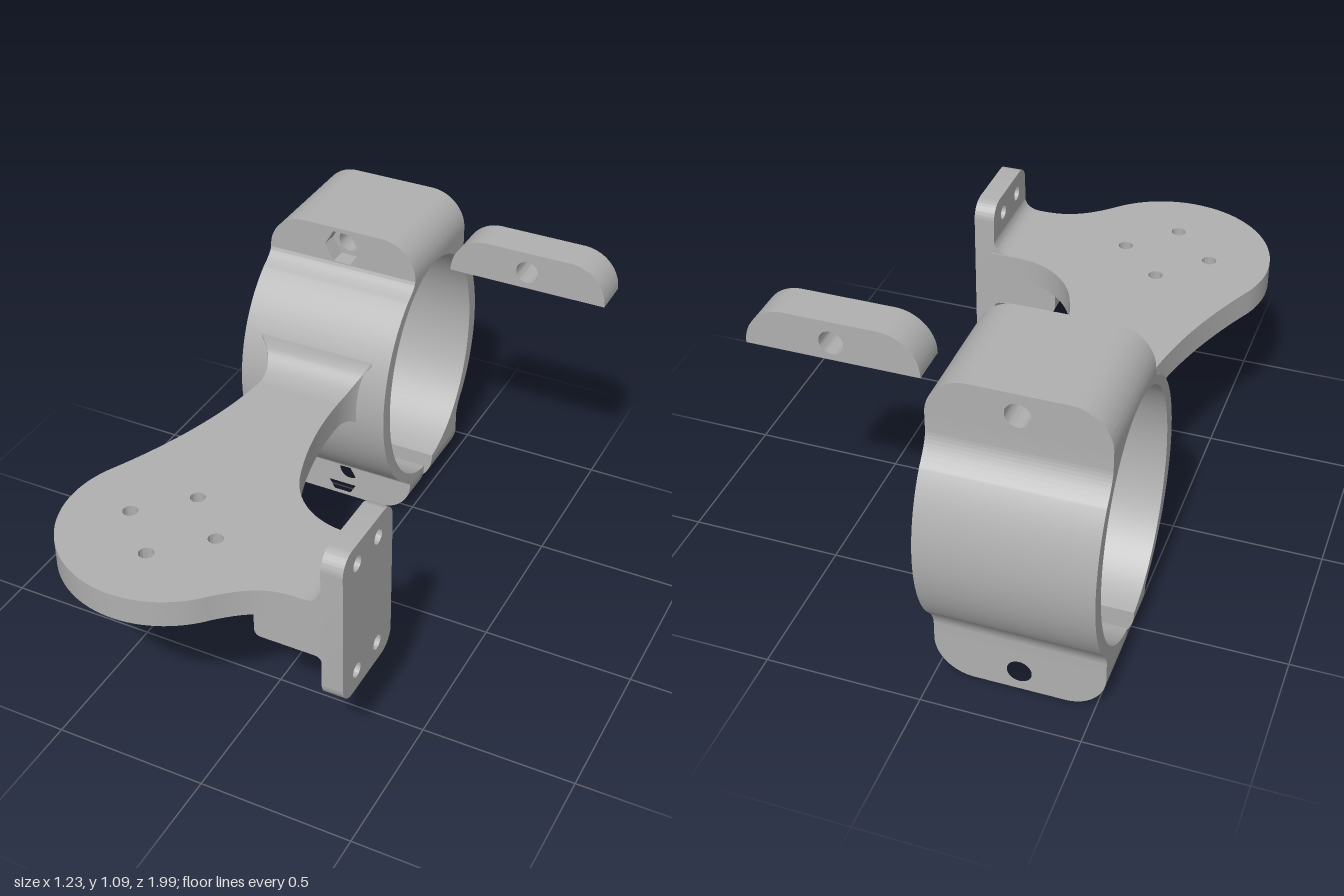
import * as THREE from 'three';
import { toCreasedNormals } from 'three/addons/utils/BufferGeometryUtils.js';

const CX = -0.262, CY = 0.545, CZ = -0.612; // centre of the clamp
const HALF = 0.268;                         // half width of the clamp

export function createModel() {
  const root = new THREE.Group();
  const grey = new THREE.MeshStandardMaterial({ color: 0xb0b0b0 });
  grey.name = 'grey plastic';

  const add = (name, geo) => {
    const mesh = new THREE.Mesh(toCreasedNormals(geo, 0.5), grey);
    mesh.name = name;
    root.add(mesh);
    return mesh;
  };
  const extrude = (shape, depth, curveSegments = 16) =>
    new THREE.ExtrudeGeometry(shape, { depth, curveSegments, bevelEnabled: false });
  // axis helpers: shapes drawn in (x, y), (-z, y) and (x, -z)
  const alongZ = (shape, z0, z1) => extrude(shape, z1 - z0).translate(0, 0, z0);
  const alongX = (shape, x0, x1, n) => extrude(shape, x1 - x0, n).rotateY(Math.PI / 2).translate(x0, 0, 0);
  const alongY = (shape, y0, y1, n) => extrude(shape, y1 - y0, n).rotateX(-Math.PI / 2).translate(0, y0, 0);
  const hole = (x, y, r) => new THREE.Path().absarc(x, y, r, 0, Math.PI * 2, true);
  const hexagon = (x, y, r) => new THREE.Path(Array.from({ length: 6 }, (_, i) =>
    new THREE.Vector2(x + r * Math.cos(i * Math.PI / 3), y - r * Math.sin(i * Math.PI / 3))));

  // Clamp ring: oval band with flats for the lugs and a slot at the bottom
  const rx = 0.382, ry = 0.435, flat = 0.417;
  const tB = Math.acos(0.3 / rx), tF = Math.acos(0.205 / rx);
  const qB = ry * Math.sin(tB), qF = ry * Math.sin(tF);
  const slot = Math.asin(0.035 / 0.332);
  const ring = new THREE.Shape();
  ring.moveTo(0.035, -flat);
  ring.lineTo(0.248, -flat);
  ring.lineTo(0.248, -0.36);
  ring.quadraticCurveTo(0.248, -0.325, 0.3, -qB);
  ring.absellipse(0, 0, rx, ry, -tB, tB, false);
  ring.quadraticCurveTo(0.248, 0.325, 0.248, 0.36);
  ring.lineTo(0.248, flat);
  ring.lineTo(-0.152, flat);
  ring.quadraticCurveTo(-0.155, 0.395, -0.205, qF);
  ring.absellipse(0, 0, rx, ry, Math.PI - tF, Math.PI + tF, false);
  ring.quadraticCurveTo(-0.155, -0.395, -0.152, -flat);
  ring.lineTo(-0.035, -flat);
  ring.absellipse(0, 0, 0.332, 0.412, -Math.PI / 2 - slot, -Math.PI / 2 + slot, true);
  add('clampRing', alongX(ring, CX - HALF, CX + HALF, 48).translate(0, CY, CZ));

  // Lugs: rounded blocks with a bolt hole, s = 1 on top, -1 at the bottom
  const lugShape = (cx, s, cut) => {
    const r = 0.125, base = CY + s * flat, end = CY + s * 0.545;
    const sh = new THREE.Shape();
    sh.moveTo(cx - HALF, base);
    sh.lineTo(cx + HALF, base);
    sh.absarc(cx + HALF - r, end - s * r, r, 0, s * Math.PI / 2, s < 0);
    sh.absarc(cx - HALF + r, end - s * r, r, s * Math.PI / 2, s * Math.PI, s < 0);
    sh.closePath();
    sh.holes.push(cut);
    return sh;
  };
  for (const s of [1, -1]) {
    const y = CY + s * 0.475, side = s > 0 ? 'top' : 'bottom';
    add(side + 'LugNutRecess', alongZ(lugShape(CX, s, hexagon(CX, y, 0.0635)), -0.52, -0.46));
    const spans = s > 0 ? [[-0.86, -0.52]] : [[-0.577, -0.52], [-0.86, -0.647]];
    for (const [a, b] of spans) add(side + 'Lug', alongZ(lugShape(CX, s, hole(CX, y, 0.039)), a, b));
  }

  // Loose spacer bar beside the clamp
  add('spacerBar', alongZ(lugShape(0.344, 1, hole(0.344, 1.02, 0.038)), -0.715, -0.585));

  // Flat arm with a round pad and a side branch
  const px = -0.27, pz = -0.645, pr = 0.35;
  const aL = Math.PI - 0.42, aR = -0.72;
  const arm = new THREE.Shape();
  arm.moveTo(-0.405, 0.14);
  arm.bezierCurveTo(-0.42, -0.1, -0.5, -0.32, px + pr * Math.cos(aL), pz + pr * Math.sin(aL));
  arm.absarc(px, pz, pr, aL, aR + Math.PI * 2, false);
  arm.bezierCurveTo(0.06, -0.81, 0.12, -0.77, 0.21, -0.77);
  arm.lineTo(0.3, -0.77);
  arm.lineTo(0.3, -0.445);
  arm.lineTo(0.21, -0.445);
  arm.bezierCurveTo(0.09, -0.445, 0, -0.37, -0.04, -0.27);
  arm.bezierCurveTo(-0.09, -0.14, -0.115, 0, -0.115, 0.14);
  arm.closePath();
  for (const [dx, dz] of [[0.148, 0], [-0.148, 0], [0, 0.148], [0, -0.148]])
    arm.holes.push(hole(px + dx, pz + dz, 0.024));
  add('arm', alongY(arm, 0.55, 0.64, 32));

  // Flared neck: box whose sections widen along a quarter curve into the ring
  const n = 12, neck = new THREE.BoxGeometry(1, 1, 1, 1, 1, n);
  const p = neck.attributes.position;
  for (let i = 0; i < p.count; i++) {
    const u = 0.5 - p.getZ(i);
    const f = 1 - Math.sqrt(Math.max(0, 1 - u * u));
    const hx = 0.145 + 0.06 * f;
    const y = p.getY(i) > 0 ? 0.64 + 0.1 * f : 0.55 - 0.11 * f;
    p.setXYZ(i, -0.26 + 2 * hx * p.getX(i), y, -0.13 - 0.135 * u);
  }
  add('flaredNeck', neck);

  // Upright mounting plate with four holes
  const z0 = 0.45, z1 = 0.77, y0 = 0.275, y1 = 0.82, r = 0.06;
  const plate = new THREE.Shape();
  plate.absarc(-z0 - r, y0 + r, r, -Math.PI / 2, 0, false);
  plate.absarc(-z0 - r, y1 - r, r, 0, Math.PI / 2, false);
  plate.absarc(-z1 + r, y1 - r, r, Math.PI / 2, Math.PI, false);
  plate.absarc(-z1 + r, y0 + r, r, Math.PI, Math.PI * 1.5, false);
  plate.closePath();
  for (const z of [0.545, 0.68]) for (const y of [0.345, 0.75]) plate.holes.push(hole(-z, y, 0.025));
  add('mountingPlate', alongX(plate, 0.29, 0.36));

  // Support block under the branch, blended into the plate above and below
  const block = new THREE.Shape();
  block.moveTo(0.07, 0.56);
  block.lineTo(0.07, 0.465);
  block.quadraticCurveTo(0.07, 0.44, 0.095, 0.44);
  block.lineTo(0.265, 0.44);
  block.quadraticCurveTo(0.292, 0.44, 0.292, 0.412);
  block.lineTo(0.292, 0.7);
  block.quadraticCurveTo(0.292, 0.64, 0.23, 0.64);
  block.lineTo(0.23, 0.56);
  block.closePath();
  add('supportBlock', alongZ(block, z0, z1));
  add('supportStep', new THREE.BoxGeometry(0.06, 0.06, 0.22).translate(0.055, 0.53, 0.61));

  return root;
}
